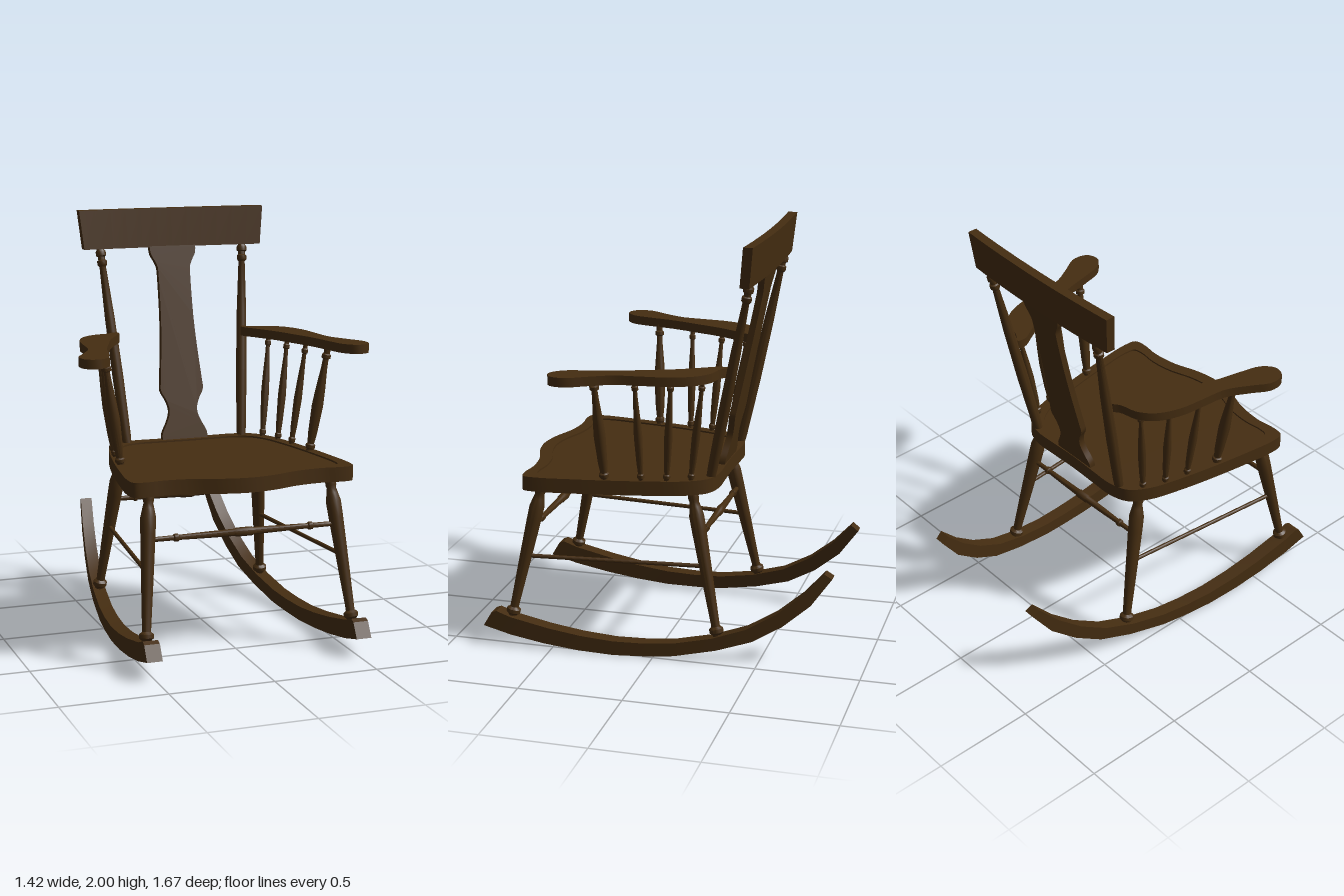
import * as THREE from 'three';
import { toCreasedNormals } from 'three/addons/utils/BufferGeometryUtils.js';

const wood = new THREE.MeshStandardMaterial({ color: 0x452d11 });
wood.name = 'dark brown wood';

const V = (x, y, z) => new THREE.Vector3(x, y, z);

function part(name, geometry, crease = 0.6) {
  const mesh = new THREE.Mesh(toCreasedNormals(geometry, crease), wood);
  mesh.name = name;
  return mesh;
}

// Turned rod from a to b; profile holds [fraction of length, radius]
function turned(name, a, b, profile) {
  const dir = b.clone().sub(a);
  const len = dir.length();
  const pts = profile.map(([t, r]) => new THREE.Vector2(r, t * len));
  const mesh = part(name, new THREE.LatheGeometry(pts, 14), 0.7);
  mesh.position.copy(a);
  mesh.quaternion.setFromUnitVectors(V(0, 1, 0), dir.normalize());
  return mesh;
}

// Flat board whose outline lies in plan (x, z), with its top at y = top
function board(name, outline, top, thickness, hole) {
  const shape = new THREE.Shape(outline);
  if (hole) shape.holes.push(new THREE.Path(hole));
  const geo = new THREE.ExtrudeGeometry(shape, { depth: thickness, bevelEnabled: false });
  geo.rotateX(Math.PI / 2).translate(0, top, 0);
  return part(name, geo);
}

function smoothLoop(points, n) {
  const curve = new THREE.CatmullRomCurve3(points.map(([x, z]) => V(x, z, 0)), true, 'centripetal');
  return curve.getPoints(n).slice(0, n).map((p) => new THREE.Vector2(p.x, p.y));
}

// Rocker side profile: [top z, top y, bottom z, bottom y], front to back
const ROCKER = [
  [0.795, 0.165, 0.836, 0.095], [0.77, 0.175, 0.8, 0.086], [0.7, 0.15, 0.7, 0.06],
  [0.51, 0.11, 0.53, 0.03], [0.35, 0.085, 0.36, 0.01], [0.19, 0.07, 0.19, 0],
  [0.04, 0.07, 0.03, 0.005], [-0.1, 0.08, -0.1, 0.015], [-0.28, 0.115, -0.3, 0.055],
  [-0.44, 0.168, -0.47, 0.108], [-0.58, 0.25, -0.61, 0.19], [-0.7, 0.35, -0.74, 0.3],
  [-0.8, 0.46, -0.836, 0.435],
];

function rocker(s) {
  const n = ROCKER.length - 1;
  const geo = new THREE.BoxGeometry(1, 1, 1, 1, 1, n);
  const p = geo.attributes.position;
  for (let i = 0; i < p.count; i++) {
    const k = Math.round((0.5 - p.getZ(i)) * n);
    const [tz, ty, bz, by] = ROCKER[k];
    const up = p.getY(i) > 0;
    const z = up ? tz : bz;
    const centre = 0.51 - 0.059 * (0.83 - z) ** 2;
    const width = 0.074 - 0.016 * (k / n);
    p.setXYZ(i, s * centre + p.getX(i) * width, up ? ty : by, z);
  }
  return part('rocker', geo, 0.4);
}

// Seat with a raised rim around a shallow dished panel
const SEAT_HALF = [
  [0.15, -0.262], [0.27, -0.262], [0.36, -0.23], [0.42, -0.14], [0.46, 0], [0.5, 0.2],
  [0.53, 0.4], [0.546, 0.55], [0.535, 0.62], [0.48, 0.632], [0.38, 0.622], [0.25, 0.637], [0.12, 0.68],
];

function seat() {
  const loop = [[0, -0.258], ...SEAT_HALF, [0, 0.697],
    ...SEAT_HALF.slice().reverse().map(([x, z]) => [-x, z])];
  const outline = smoothLoop(loop, 112);
  const inner = outline.map((v) => new THREE.Vector2(v.x * 0.9, 0.2 + (v.y - 0.2) * 0.87));
  const g = new THREE.Group();
  g.name = 'seat';
  g.add(board('seatPanel', outline, 0.862, 0.062), board('seatRim', outline, 0.87, 0.008, inner));
  return g;
}

// Crest rail: box bowed backwards, leaning and flaring towards the top
function crestRail() {
  const geo = new THREE.BoxGeometry(0.94, 0.19, 0.045, 12, 1, 1);
  const p = geo.attributes.position;
  for (let i = 0; i < p.count; i++) {
    const x = p.getX(i), y = p.getY(i), z = p.getZ(i);
    const bow = 0.016 * (1 - (x / 0.47) ** 2);
    p.setXYZ(i, x * (1 + y * 0.22), y + 1.905, z - 0.432 - bow - y * 0.1);
  }
  return part('crestRail', geo);
}

// Shaped centre splat, leaning back with the posts
function backSplat() {
  const half = [[0.117, 0], [0.115, 0.04], [0.085, 0.1], [0.072, 0.15], [0.085, 0.2], [0.11, 0.25],
    [0.108, 0.3], [0.095, 0.45], [0.085, 0.62], [0.083, 0.83], [0.09, 0.88], [0.115, 0.93], [0.12, 0.97]];
  const side = new THREE.SplineCurve(half.map(([x, y]) => new THREE.Vector2(x, y))).getPoints(48);
  const other = side.slice().reverse().map((v) => new THREE.Vector2(-v.x, v.y));
  const geo = new THREE.ExtrudeGeometry(new THREE.Shape([...side, ...other]), { depth: 0.03, bevelEnabled: false });
  geo.rotateX(-0.2).translate(0, 0.858, -0.252);
  return part('backSplat', geo);
}

const ARM = [
  [0.33, -0.32], [0.38, -0.29], [0.46, -0.27], [0.53, -0.21], [0.575, -0.1], [0.59, 0.02],
  [0.605, 0.15], [0.66, 0.26], [0.708, 0.35], [0.695, 0.425], [0.635, 0.446], [0.58, 0.4],
  [0.55, 0.3], [0.52, 0.17], [0.47, 0.03], [0.42, -0.1], [0.36, -0.21], [0.322, -0.28],
];

// Turning profiles
const LEG = [[0, 0.02], [0.035, 0.022], [0.05, 0.034], [0.075, 0.034], [0.09, 0.021], [0.11, 0.021],
  [0.4, 0.028], [0.72, 0.035], [0.82, 0.036], [0.88, 0.027], [0.91, 0.022], [0.93, 0.026], [1, 0.024]];
const POST = [[0, 0.021], [0.06, 0.024], [0.35, 0.027], [0.65, 0.024], [0.9, 0.016], [0.91, 0.024],
  [0.93, 0.024], [0.935, 0.017], [0.95, 0.017], [0.955, 0.025], [0.975, 0.025], [0.985, 0.018], [1, 0.018]];
const SPINDLE = [[0, 0.6], [0.05, 0.6], [0.06, 0.85], [0.09, 0.85], [0.1, 0.6], [0.2, 0.8], [0.45, 1],
  [0.6, 0.85], [0.8, 0.55], [0.88, 0.5], [0.89, 0.8], [0.92, 0.8], [0.93, 0.55], [1, 0.6]];
const CROSS = [[0, 0.011], [0.13, 0.012], [0.135, 0.018], [0.155, 0.018], [0.16, 0.012], [0.3, 0.015],
  [0.45, 0.017], [0.46, 0.021], [0.54, 0.021], [0.55, 0.017], [0.7, 0.015], [0.84, 0.012],
  [0.845, 0.018], [0.865, 0.018], [0.87, 0.012], [1, 0.011]];
const ROD = [[0, 0.01], [1, 0.01]];

// Arm spindles: bottom x, bottom z, top x, top z, radius
const SPINDLES = [
  [0.475, 0.235, 0.558, 0.26, 0.028], [0.45, 0.065, 0.522, 0.075, 0.02],
  [0.425, -0.05, 0.49, -0.09, 0.02], [0.385, -0.155, 0.445, -0.23, 0.02],
];

export function createModel() {
  const model = new THREE.Group();
  model.name = 'rockingChair';
  model.add(seat(), crestRail(), backSplat());

  for (const s of [1, -1]) {
    const side = new THREE.Group();
    side.name = s > 0 ? 'leftSide' : 'rightSide';
    side.add(
      rocker(s),
      turned('frontLeg', V(s * 0.508, 0.13, 0.705), V(s * 0.445, 0.82, 0.555), LEG),
      turned('backLeg', V(s * 0.435, 0.1, -0.305), V(s * 0.357, 0.82, -0.155), LEG),
      turned('sideStretcher', V(s * 0.479, 0.45, 0.635), V(s * 0.397, 0.45, -0.232), ROD),
      turned('backPost', V(s * 0.3, 0.85, -0.23), V(s * 0.373, 1.82, -0.428), POST),
      board('armRest', smoothLoop(ARM.map(([x, z]) => [s * x, z]), 64), 1.408, 0.044),
    );
    for (const [bx, bz, tx, tz, r] of SPINDLES) {
      side.add(turned('armSpindle', V(s * bx, 0.85, bz), V(s * tx, 1.38, tz), SPINDLE.map(([t, k]) => [t, k * r])));
    }
    model.add(side);
  }

  // Cross stretchers between the leg pairs
  model.add(
    turned('frontStretcher', V(-0.465, 0.595, 0.604), V(0.465, 0.595, 0.604), CROSS),
    turned('backStretcher', V(-0.381, 0.595, -0.202), V(0.381, 0.595, -0.202), CROSS),
  );
  return model;
}
